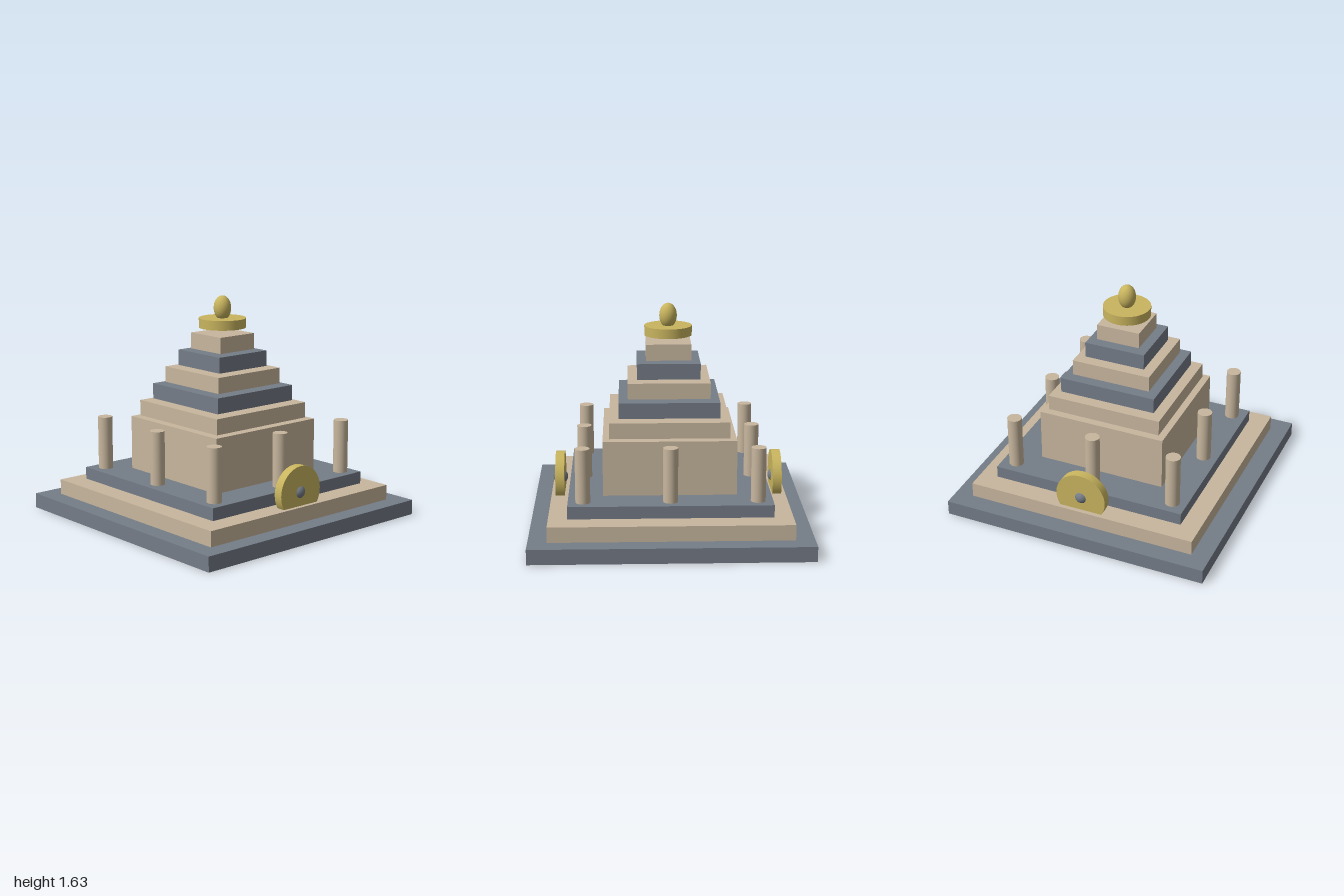
import * as THREE from 'three';

const material = (name, color) => {
  const m = new THREE.MeshStandardMaterial({ color });
  m.name = name;
  return m;
};

export function createModel() {
  const sandstone = material('sandstone', 0xc8b79e);
  const slate = material('slate', 0x757d88);
  const gold = material('gold', 0xc9b55f);

  const model = new THREE.Group();
  model.name = 'steppedTemple';

  const add = (name, geometry, mat, x, y, z, parent = model) => {
    const mesh = new THREE.Mesh(geometry, mat);
    mesh.name = name;
    mesh.position.set(x, y, z);
    parent.add(mesh);
    return mesh;
  };

  // Square slabs: name, half width, bottom, top, material
  const slabs = [
    ['basePlinth', 1.0, 0, 0.11, slate],
    ['middlePlinth', 0.864, 0.11, 0.222, sandstone],
    ['upperPlinth', 0.726, 0.232, 0.322, slate],
    ['sanctum', 0.479, 0.322, 0.72, sandstone],
    ['roofTier1', 0.432, 0.728, 0.843, sandstone],
    ['roofTier2', 0.363, 0.857, 0.971, slate],
    ['roofTier3', 0.297, 0.983, 1.099, sandstone],
    ['roofTier4', 0.228, 1.111, 1.226, slate],
    ['roofTier5', 0.163, 1.236, 1.354, sandstone],
  ];
  for (const [name, half, bottom, top, mat] of slabs) {
    add(name, new THREE.BoxGeometry(half * 2, top - bottom, half * 2), mat, 0, (bottom + top) / 2, 0);
  }

  // Ring of eight pillars around the sanctum
  const pillars = new THREE.Group();
  pillars.name = 'pillars';
  model.add(pillars);
  const pillarGeometry = new THREE.CylinderGeometry(0.053, 0.053, 0.393, 32);
  for (const x of [-0.619, 0, 0.619]) {
    for (const z of [-0.619, 0, 0.619]) {
      if (x || z) add('pillar', pillarGeometry, sandstone, x, 0.5185, z, pillars);
    }
  }

  // Wheel with a round hub on each side, partly sunk into the plinth
  const wheelGeometry = new THREE.CylinderGeometry(0.19, 0.19, 0.066, 48).rotateZ(Math.PI / 2);
  const hubGeometry = new THREE.SphereGeometry(0.054, 32, 20);
  for (const [side, x] of [['left', 0.8], ['right', -0.8]]) {
    add(side + 'Wheel', wheelGeometry, gold, x, 0.322, 0);
    add(side + 'Hub', hubGeometry, slate, x, 0.322, 0);
  }

  // Crowning disc and finial
  add('crownDisc', new THREE.CylinderGeometry(0.173, 0.173, 0.07, 48), gold, 0, 1.431, 0);
  add('finial', new THREE.SphereGeometry(0.064, 32, 24).scale(1, 1.42, 1), gold, 0, 1.538, 0);

  return model;
}
